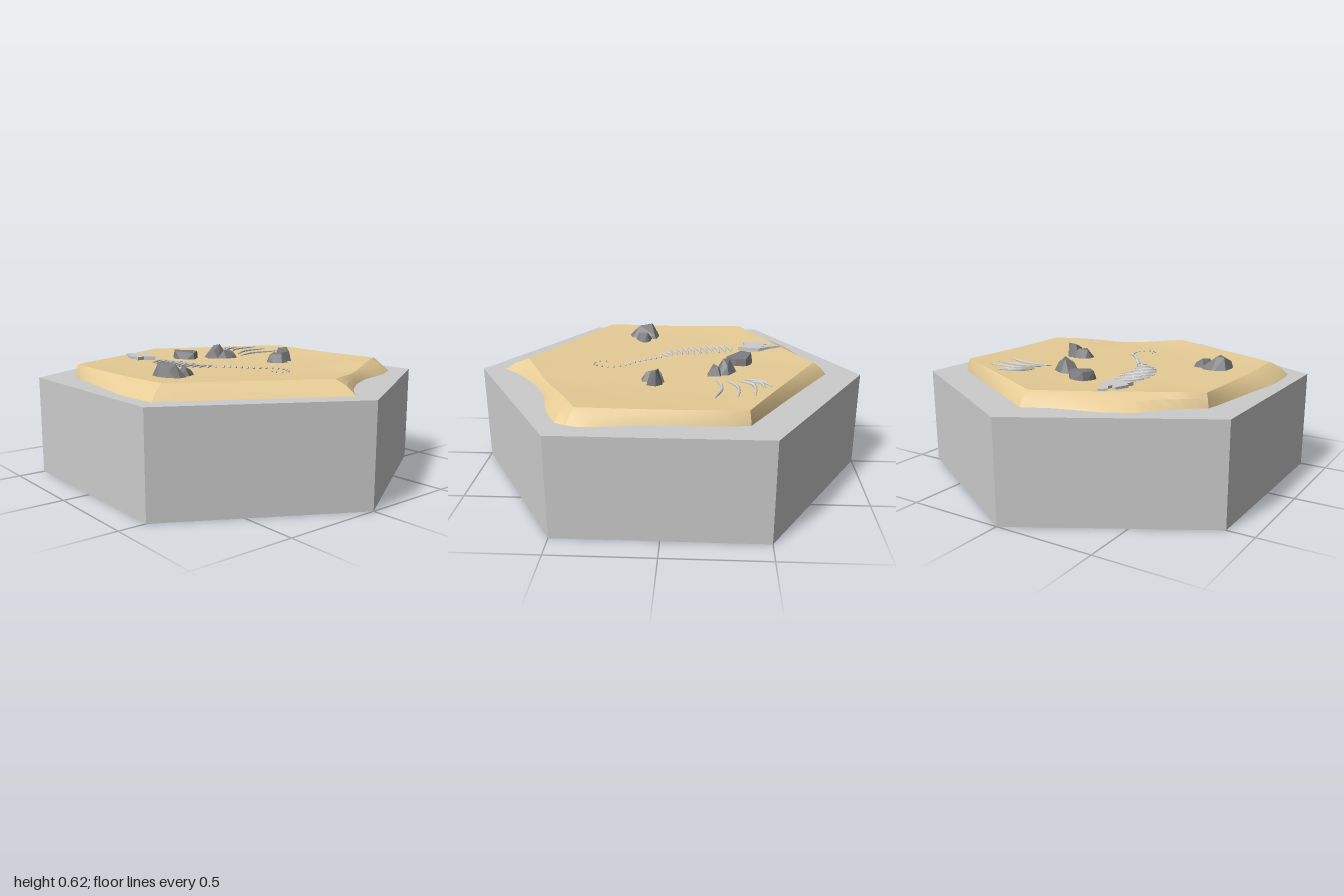
import * as THREE from 'three';
import { toCreasedNormals } from 'three/addons/utils/BufferGeometryUtils.js';
import { ConvexGeometry } from 'three/addons/geometries/ConvexGeometry.js';

const grey = new THREE.MeshStandardMaterial({ color: 0xcccccc });
const boneMat = new THREE.MeshStandardMaterial({ color: 0xcccccc, flatShading: true });
const sandMat = new THREE.MeshStandardMaterial({ color: 0xe6cc96 });
const rockMat = new THREE.MeshStandardMaterial({ color: 0x7d7d7f, flatShading: true });

const BASE = 0.5;

// Sand height: a shallow bowl inside a hexagonal rim, with a dip at the front right
function sandY(x, z) {
  const t = Math.max(Math.abs(x) / 0.7, (Math.abs(z) + 0.52 * Math.abs(x)) / 0.75);
  const dip = 0.022 * Math.exp(-((x - 0.3) ** 2 + (z - 0.6) ** 2) / 0.05);
  return 0.543 + 0.022 * t * t - dip + 0.003 * Math.sin(5 * x + 2) * Math.cos(6 * z);
}

function named(name, geometry, material) {
  const mesh = new THREE.Mesh(geometry, material);
  mesh.name = name;
  return mesh;
}

// Sand: concentric hexagonal rings, then a skirt running out to a wavy foot
function sandGeometry() {
  const rim = [[0, 0.75], [0.7, 0.386], [0.7, -0.386], [0, -0.75], [-0.7, -0.386], [-0.7, 0.386]];
  const foot = [[0, 0.88], [0.1, 0.77], [0.25, 0.66], [0.4, 0.585], [0.58, 0.545], [0.73, 0.47], [0.77, 0.37],
    [0.74, 0.1], [0.73, -0.2], [0.72, -0.39], [0.36, -0.6], [0, -0.82], [-0.15, -0.75], [-0.35, -0.7],
    [-0.48, -0.63], [-0.58, -0.5], [-0.72, -0.385], [-0.77, 0], [-0.8, 0.2], [-0.79, 0.43], [-0.45, 0.62], [-0.14, 0.8]];
  const perEdge = 12, n = 6 * perEdge;
  const edge = [];
  rim.forEach((a, i) => {
    const b = rim[(i + 1) % 6];
    for (let k = 0; k < perEdge; k++) {
      const f = k / perEdge;
      edge.push([a[0] + (b[0] - a[0]) * f, a[1] + (b[1] - a[1]) * f]);
    }
  });
  // Stretch factor that carries a rim point outwards onto the foot outline
  const reach = ([dx, dz]) => {
    let best = 1.02;
    foot.forEach((a, i) => {
      const b = foot[(i + 1) % foot.length];
      const ex = b[0] - a[0], ez = b[1] - a[1];
      const den = dx * ez - dz * ex;
      if (Math.abs(den) < 1e-9) return;
      const r = (a[0] * ez - a[1] * ex) / den;
      const u = (a[0] * dz - a[1] * dx) / den;
      if (r > 0 && u >= -1e-6 && u <= 1 + 1e-6) best = Math.max(best, r);
    });
    return best;
  };
  const pos = [0, sandY(0, 0), 0], index = [];
  const rings = 12;
  for (let j = 1; j <= rings; j++) {
    for (const [x, z] of edge) {
      const s = j / rings;
      pos.push(x * s, sandY(x * s, z * s), z * s);
    }
  }
  for (const [f, h] of [[0.55, 0.6], [1, -0.02]]) {
    for (const p of edge) {
      const s = 1 + (reach(p) - 1) * f;
      pos.push(p[0] * s, BASE + (sandY(p[0], p[1]) - BASE) * h, p[1] * s);
    }
  }
  for (let i = 0; i < n; i++) {
    const k = (i + 1) % n;
    index.push(0, 1 + i, 1 + k);
    for (let j = 0; j < rings + 1; j++) {
      const a = 1 + j * n + i, b = 1 + j * n + k;
      index.push(a, a + n, b + n, a, b + n, b);
    }
  }
  const g = new THREE.BufferGeometry();
  g.setAttribute('position', new THREE.Float32BufferAttribute(pos, 3));
  g.setIndex(index);
  return toCreasedNormals(g, 0.4);
}

// Faceted stone: hull of a footprint [x, z] and peaks [x, y, z]
function stone(foot, peaks) {
  const pts = foot.map(([x, z]) => new THREE.Vector3(x, 0.525, z));
  peaks.forEach((p) => pts.push(new THREE.Vector3(...p)));
  return named('stone', new ConvexGeometry(pts), rockMat);
}

// Bone lying on the sand along [x, z] points, pointed at both ends
function bone(name, pts, radius, lift = 0.003) {
  const curve = new THREE.CatmullRomCurve3(pts.map(([x, z]) => new THREE.Vector3(x, sandY(x, z) + lift, z)));
  const seg = 10, sides = 6;
  const g = new THREE.TubeGeometry(curve, seg, radius, sides, false);
  const p = g.attributes.position, v = new THREE.Vector3();
  for (let i = 0; i < p.count; i++) {
    const t = Math.floor(i / (sides + 1)) / seg;
    const c = curve.getPointAt(t);
    v.fromBufferAttribute(p, i).sub(c).multiplyScalar(0.12 + 0.88 * Math.sin(Math.PI * t)).add(c);
    p.setXYZ(i, v.x, v.y, v.z);
  }
  return named(name, g, boneMat);
}

// Skull: flat plate with a forked snout and two slots
function skull() {
  const toShape = (pts, Type) => new Type(pts.map(([x, z]) => new THREE.Vector2(x, -z)));
  const shape = toShape([[-0.345, -0.46], [-0.32, -0.53], [-0.30, -0.53], [-0.285, -0.5], [-0.28, -0.53], [-0.305, -0.57],
    [-0.27, -0.6], [-0.25, -0.545], [-0.21, -0.48], [-0.22, -0.42], [-0.24, -0.37], [-0.29, -0.41], [-0.335, -0.40],
    [-0.325, -0.44]], THREE.Shape);
  shape.holes.push(toShape([[-0.31, -0.49], [-0.3, -0.44], [-0.315, -0.45]], THREE.Path));
  shape.holes.push(toShape([[-0.262, -0.53], [-0.245, -0.49], [-0.26, -0.47]], THREE.Path));
  const g = new THREE.ExtrudeGeometry(shape, { depth: 0.03, bevelEnabled: false });
  g.rotateX(-Math.PI / 2).translate(0, 0.542, 0);
  return named('skull', g, boneMat);
}

function skeleton() {
  const group = new THREE.Group();
  group.name = 'skeleton';
  group.add(skull());
  const spine = new THREE.CatmullRomCurve3([[-0.25, -0.34], [-0.23, -0.2], [-0.19, -0.04], [-0.1, 0.05], [0, 0.19], [0.06, 0.25],
    [0.08, 0.32], [0.06, 0.38], [0.02, 0.4], [-0.015, 0.375], [-0.015, 0.335]].map(([x, z]) => new THREE.Vector3(x, 0, z)));

  // Ribs grow shorter towards the hips
  for (let i = 0; i < 12; i++) {
    const c = spine.getPointAt(0.02 + i * 0.036);
    const w = 0.075 * Math.sin(Math.PI * (0.3 + 0.058 * i)) + 0.004;
    group.add(bone('rib', [[c.x - w, c.z + 0.03], [c.x, c.z - 0.005], [c.x + w, c.z - 0.012]], 0.008));
  }
  // Hip and tail vertebrae curl round in a hook
  for (let i = 0; i < 17; i++) {
    const t = 0.46 + i * 0.0335;
    const c = spine.getPointAt(t), d = spine.getTangentAt(t);
    const v = named('vertebra', new THREE.IcosahedronGeometry(0.013 - 0.0004 * i, 0), boneMat);
    v.scale.set(1.1, 0.8, 0.65);
    v.position.set(c.x, sandY(c.x, c.z) + 0.004, c.z);
    v.rotation.y = Math.atan2(d.x, d.z);
    group.add(v);
  }
  return group;
}

export function createModel() {
  const model = new THREE.Group();
  model.name = 'fossilTile';

  // Hexagonal plinth
  const base = named('base', toCreasedNormals(new THREE.CylinderGeometry(1, 1, BASE, 6), 0.3), grey);
  base.position.y = BASE / 2;
  model.add(base, named('sand', sandGeometry(), sandMat), skeleton());

  // Loose curved bones half buried at the back
  const loose = new THREE.Group();
  loose.name = 'looseRibs';
  [[[0.27, -0.38], [0.31, -0.46], [0.4, -0.51]], [[0.3, -0.4], [0.34, -0.46], [0.42, -0.47]],
    [[0.28, -0.34], [0.36, -0.42], [0.53, -0.42]], [[0.28, -0.29], [0.38, -0.345], [0.54, -0.34]],
    [[0.26, -0.24], [0.38, -0.27], [0.55, -0.23]]].forEach((p) => loose.add(bone('looseRib', p, 0.009)));
  model.add(loose);

  // Rocks
  const rocks = new THREE.Group();
  rocks.name = 'rocks';
  rocks.add(
    stone([[-0.59, 0.19], [-0.58, 0.1], [-0.5, 0.07], [-0.43, 0.09], [-0.45, 0.26], [-0.52, 0.29]],
      [[-0.55, 0.615, 0.13], [-0.51, 0.62, 0.13], [-0.5, 0.615, 0.2], [-0.55, 0.585, 0.22], [-0.45, 0.57, 0.11]]),
    stone([[-0.46, 0.11], [-0.37, 0.13], [-0.365, 0.19], [-0.43, 0.23], [-0.48, 0.2]],
      [[-0.42, 0.595, 0.15], [-0.44, 0.59, 0.2], [-0.38, 0.57, 0.16]]),
    stone([[-0.105, -0.38], [-0.08, -0.44], [-0.01, -0.44], [0.035, -0.4], [0.03, -0.34], [-0.03, -0.29], [-0.09, -0.33]],
      [[-0.1, 0.592, -0.38], [-0.07, 0.592, -0.43], [0.03, 0.585, -0.4], [0.03, 0.585, -0.35], [-0.03, 0.58, -0.3]]),
    stone([[0.04, -0.28], [0.06, -0.35], [0.12, -0.36], [0.2, -0.31], [0.2, -0.25], [0.1, -0.23]],
      [[0.12, 0.615, -0.31], [0.14, 0.622, -0.28], [0.09, 0.59, -0.27], [0.17, 0.59, -0.3]]),
    stone([[0.08, -0.25], [0.15, -0.29], [0.22, -0.27], [0.21, -0.19], [0.13, -0.195]],
      [[0.13, 0.592, -0.23], [0.18, 0.595, -0.25], [0.19, 0.575, -0.21]]),
    stone([[0.2, 0.06], [0.23, 0.015], [0.3, 0.0], [0.33, 0.03], [0.31, 0.13], [0.24, 0.14], [0.21, 0.11]],
      [[0.23, 0.588, 0.05], [0.28, 0.595, 0.03], [0.27, 0.59, 0.1]]),
    stone([[0.27, 0.02], [0.33, 0.01], [0.365, 0.05], [0.35, 0.1], [0.29, 0.1]],
      [[0.3, 0.618, 0.04], [0.355, 0.62, 0.05], [0.345, 0.6, 0.08], [0.29, 0.595, 0.08]]),
  );
  model.add(rocks);
  return model;
}
